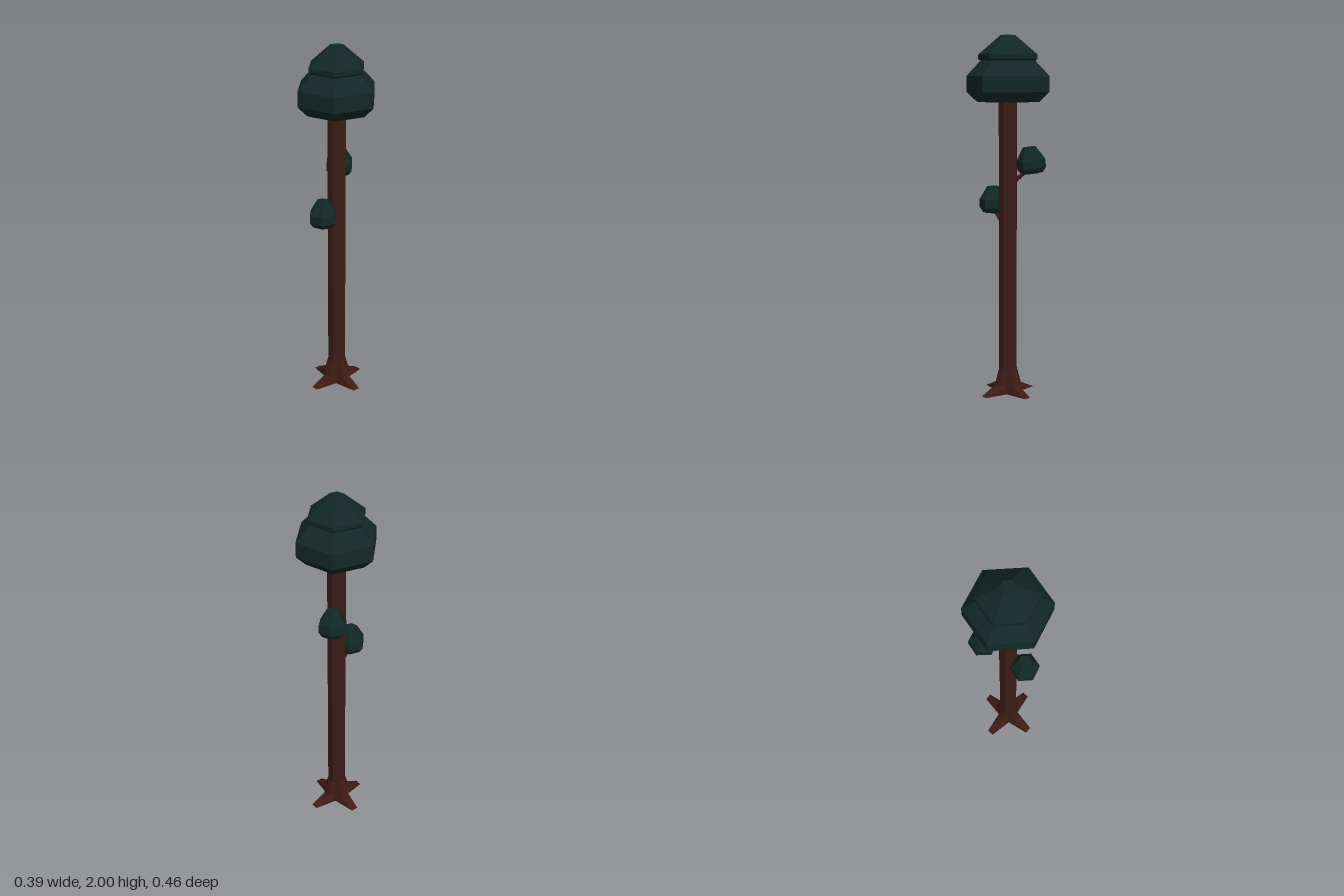
import * as THREE from 'three';

const bark = new THREE.MeshStandardMaterial({ color: 0x3d1c15, flatShading: true });
const leaf = new THREE.MeshStandardMaterial({ color: 0x122826, flatShading: true });

// Six-sided lathe from [radius, height] pairs, closed at both ends
function hexLathe(profile) {
  const first = profile[0], last = profile[profile.length - 1];
  const pts = [[0, first[1]], ...profile, [0, last[1]]].map(([r, y]) => new THREE.Vector2(r, y));
  return new THREE.LatheGeometry(pts, 6);
}

// Trunk with four diagonal roots: stacked rings of 12 points.
// Each ring: height, root reach, root half width, valley radius between roots
function trunkGeometry() {
  const rings = [
    [0, 0.172, 0.02, 0.06],
    [0.045, 0.08, 0.02, 0.055],
    [0.14, 0.048, 0.02, 0.048],
    [1.7, 0.048, 0.02, 0.048],
  ];
  const pos = [], index = [];
  for (const [y, reach, half, valley] of rings) {
    for (let k = 0; k < 4; k++) {
      const a = k * Math.PI / 2, d = a + Math.PI / 4;
      pos.push(Math.sin(a) * valley, y, Math.cos(a) * valley);
      for (const s of [-half, half]) {
        pos.push(Math.sin(d) * reach + Math.cos(d) * s, y, Math.cos(d) * reach - Math.sin(d) * s);
      }
    }
  }
  for (let i = 0; i < rings.length - 1; i++) {
    for (let j = 0; j < 12; j++) {
      const a = i * 12 + j, b = i * 12 + (j + 1) % 12;
      index.push(a, b, b + 12, a, b + 12, a + 12);
    }
  }
  // Star-shaped underside
  const centre = pos.length / 3;
  pos.push(0, 0, 0);
  for (let j = 0; j < 12; j++) index.push(centre, (j + 1) % 12, j);
  const g = new THREE.BufferGeometry();
  g.setAttribute('position', new THREE.Float32BufferAttribute(pos, 3));
  g.setIndex(index);
  g.computeVertexNormals();
  return g;
}

export function createModel() {
  const model = new THREE.Group();
  const add = (geometry, material, name) => {
    const mesh = new THREE.Mesh(geometry, material);
    mesh.name = name;
    model.add(mesh);
    return mesh;
  };

  add(trunkGeometry(), bark, 'trunk');

  // Two-tiered crown
  add(hexLathe([
    [0.172, 1.64], [0.228, 1.695], [0.228, 1.78], [0.15, 1.862],
    [0.163, 1.872], [0.163, 1.895], [0.04, 2],
  ]), leaf, 'crown');

  // Side branches, each ending in a small leaf clump
  const clumpProfile = [[0.06, -0.073], [0.08, -0.045], [0.08, 0], [0.036, 0.073]];
  const branches = [
    { name: 'lower', from: [-0.02, 0.96, 0.025], to: [-0.07, 1.04, 0.087], clump: [-0.07, 1.093, 0.087], tilt: 0 },
    { name: 'upper', from: [0, 1.2, -0.03], to: [0.006, 1.28, -0.127], clump: [0.008, 1.322, -0.127], tilt: 0.13 },
  ];
  for (const { name, from, to, clump, tilt } of branches) {
    const start = new THREE.Vector3(...from), end = new THREE.Vector3(...to);
    const dir = end.clone().sub(start);
    const branch = add(new THREE.CylinderGeometry(0.009, 0.013, dir.length(), 6), bark, name + 'Branch');
    branch.position.copy(start).lerp(end, 0.5);
    branch.quaternion.setFromUnitVectors(new THREE.Vector3(0, 1, 0), dir.normalize());

    const leaves = add(hexLathe(clumpProfile), leaf, name + 'LeafClump');
    leaves.position.set(...clump);
    leaves.rotation.x = tilt;
  }
  return model;
}
